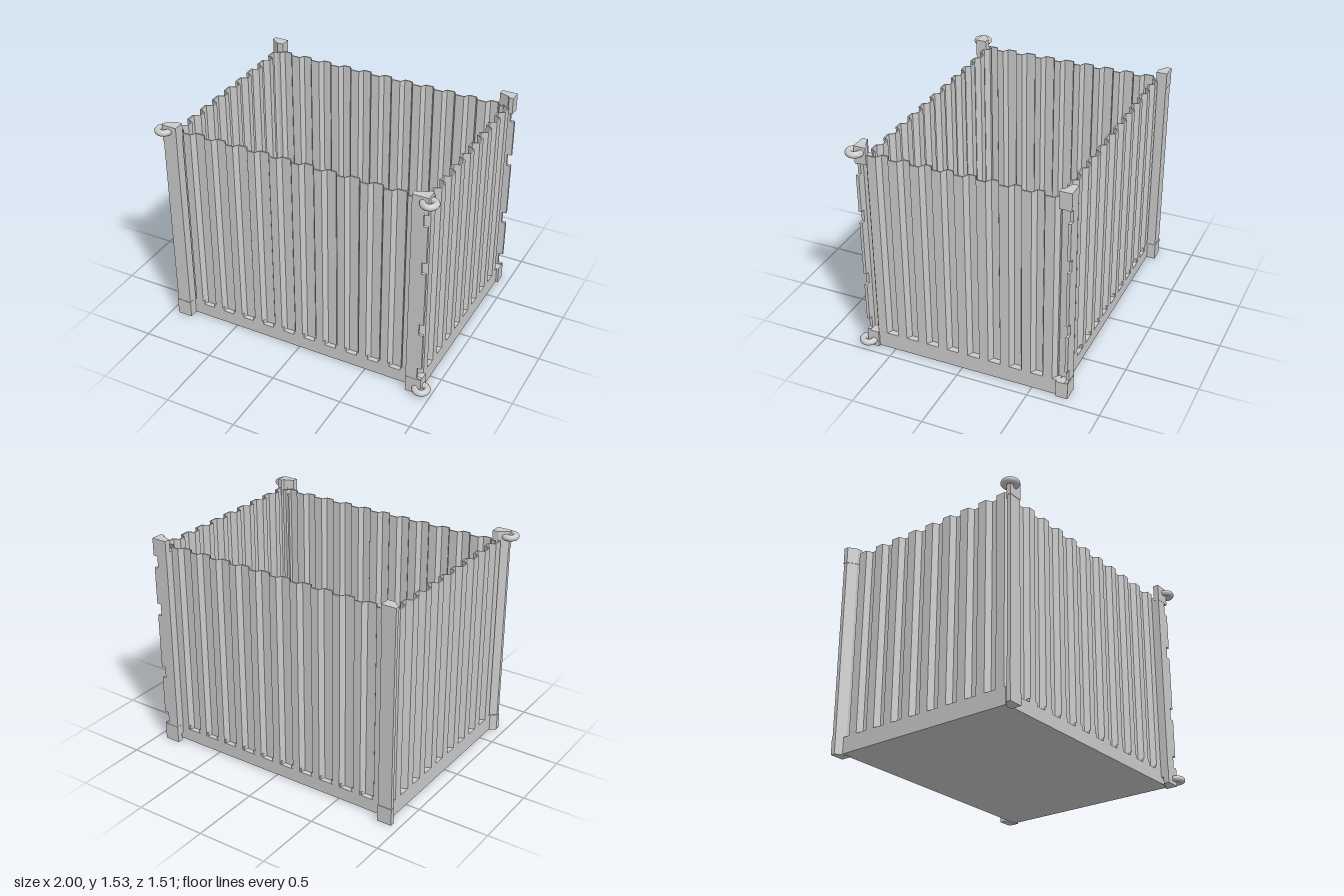
import * as THREE from 'three';

const mat = new THREE.MeshStandardMaterial({ color: 0xcccccc, flatShading: true });
const smooth = new THREE.MeshStandardMaterial({ color: 0xcccccc });
const MID_Z = -0.0275; // mirror plane between front and back walls
const MID_X = 0.0075;

function add(parent, name, geometry, material = mat) {
  const mesh = new THREE.Mesh(geometry, material);
  mesh.name = name;
  parent.add(mesh);
  return mesh;
}

// Box given by its min and max corners
function box(parent, name, x0, x1, y0, y1, z0, z1) {
  const mesh = add(parent, name, new THREE.BoxGeometry(x1 - x0, y1 - y0, z1 - z0));
  mesh.position.set((x0 + x1) / 2, (y0 + y1) / 2, (z0 + z1) / 2);
  return mesh;
}

// Upright prism from a plan outline of [x, z] points; side -1 mirrors it to the back
function prism(parent, name, plan, y0, y1, side) {
  const pts = plan.map(([x, z]) => new THREE.Vector2(x, -(MID_Z + side * (z - MID_Z))));
  const geo = new THREE.ExtrudeGeometry(new THREE.Shape(pts), { depth: y1 - y0, bevelEnabled: false });
  geo.rotateX(-Math.PI / 2).translate(0, y0, 0);
  return add(parent, name, geo);
}

// Corrugated sheet: trapezoid ridges along u, standing at distance d from the centre
function corrugatedWall({ ridges, pitch, flat, slope, end, d, depth, y0, y1 }) {
  const line = [[-end, d - depth]];
  for (let i = 0; i < ridges; i++) {
    const c = (i - (ridges - 1) / 2) * pitch;
    line.push([c - flat / 2 - slope, d - depth], [c - flat / 2, d],
      [c + flat / 2, d], [c + flat / 2 + slope, d - depth]);
  }
  line.push([end, d - depth]);
  const back = line.map(([u, v]) => [u, v - 0.01]).reverse();
  const shape = new THREE.Shape([...line, ...back].map(([u, v]) => new THREE.Vector2(u, v)));
  const geo = new THREE.ExtrudeGeometry(shape, { depth: y1 - y0, bevelEnabled: false });
  return geo.rotateX(-Math.PI / 2).translate(0, y0, 0);
}

export function createModel() {
  const model = new THREE.Group();
  model.name = 'openContainer';

  // Floor and bottom rails
  box(model, 'floor', -0.9, 0.915, 0.004, 0.08, -0.69, 0.635);
  box(model, 'leftRail', -0.905, -0.85, 0.004, 0.12, -0.69, 0.635);
  box(model, 'rightRail', 0.865, 0.92, 0.004, 0.12, -0.69, 0.635);

  // Corrugated walls
  const longWall = corrugatedWall({ ridges: 11, pitch: 0.16, flat: 0.054, slope: 0.022, end: 0.875,
    d: 0.6675, depth: 0.034, y0: 0.08, y1: 1.47 });
  const endWall = corrugatedWall({ ridges: 9, pitch: 0.15, flat: 0.064, slope: 0.02, end: 0.66,
    d: 0.9125, depth: 0.042, y0: 0.08, y1: 1.47 });
  const backWall = add(model, 'backWall', longWall);
  backWall.position.z = MID_Z;
  const frontWall = add(model, 'frontWall', longWall);
  frontWall.position.z = MID_Z;
  frontWall.rotation.y = Math.PI;
  const leftWall = add(model, 'minusXWall', endWall);
  leftWall.position.set(MID_X, 0, -0.01);
  leftWall.rotation.y = Math.PI / 2;
  const rightWall = add(model, 'plusXWall', endWall);
  rightWall.position.set(MID_X, 0, -0.01);
  rightWall.rotation.y = -Math.PI / 2;

  // Plan outlines of the corner castings
  const plainCap = [[-0.945, 0.7], [-0.84, 0.7], [-0.84, 0.625], [-0.885, 0.625], [-0.945, 0.668]];
  const plainPost = [[-0.942, 0.697], [-0.843, 0.697], [-0.843, 0.628], [-0.885, 0.628], [-0.942, 0.671]];
  const hingeCap = [[0.825, 0.7], [0.935, 0.7], [0.935, 0.618], [0.905, 0.618], [0.895, 0.635], [0.825, 0.66]];

  // Hinge plate with four notches in its outer edge
  const plate = new THREE.Shape();
  plate.moveTo(0.825, 0).lineTo(0.935, 0);
  for (const y of [0.13, 0.49, 0.97, 1.32]) {
    plate.lineTo(0.935, y).lineTo(0.905, y).lineTo(0.905, y + 0.085).lineTo(0.935, y + 0.085);
  }
  plate.lineTo(0.935, 1.45).lineTo(0.825, 1.45);
  const plateGeo = new THREE.ExtrudeGeometry(plate, { depth: 0.02, bevelEnabled: false });

  for (const side of [1, -1]) {
    const end = new THREE.Group();
    end.name = side > 0 ? 'frontFrame' : 'backFrame';
    model.add(end);

    // Long bottom rail with low teeth under the wall ridges
    const zr = MID_Z + side * 0.645;
    box(end, 'longRail', -0.86, 0.86, 0.004, 0.095, zr - 0.0225, zr + 0.0225);
    for (let i = -5; i <= 5; i++) {
      const x = i * 0.16;
      box(end, 'railTooth', x - 0.04, x + 0.04, 0.09, 0.12, zr - 0.02, zr + 0.0225);
    }

    // Plain post
    prism(end, 'plainPost', plainPost, 0.1, 1.43, side);
    prism(end, 'plainTopCasting', plainCap, 1.41, 1.53, side);
    prism(end, 'plainBottomCasting', plainCap, 0, 0.12, side);

    // Hinge post
    const hinge = add(end, 'hingePlate', plateGeo);
    hinge.position.z = side > 0 ? 0.678 : -0.753;
    const zi = MID_Z + side * 0.675;
    box(end, 'hingePostWeb', 0.83, 0.87, 0.05, 1.44, zi - 0.04, zi + 0.04);
    prism(end, 'hingeTopCasting', hingeCap, 1.41, 1.53, side);
    prism(end, 'hingeBottomCasting', hingeCap, 0, 0.12, side);
  }

  // Lifting rings on the front corners
  const ring = new THREE.TorusGeometry(0.041, 0.022, 14, 32).rotateX(Math.PI / 2);
  for (const [x, y] of [[-0.937, 1.49], [0.937, 1.49], [0.937, 0.045]]) {
    add(model, 'liftingRing', ring, smooth).position.set(x, y, 0.692);
  }
  return model;
}
